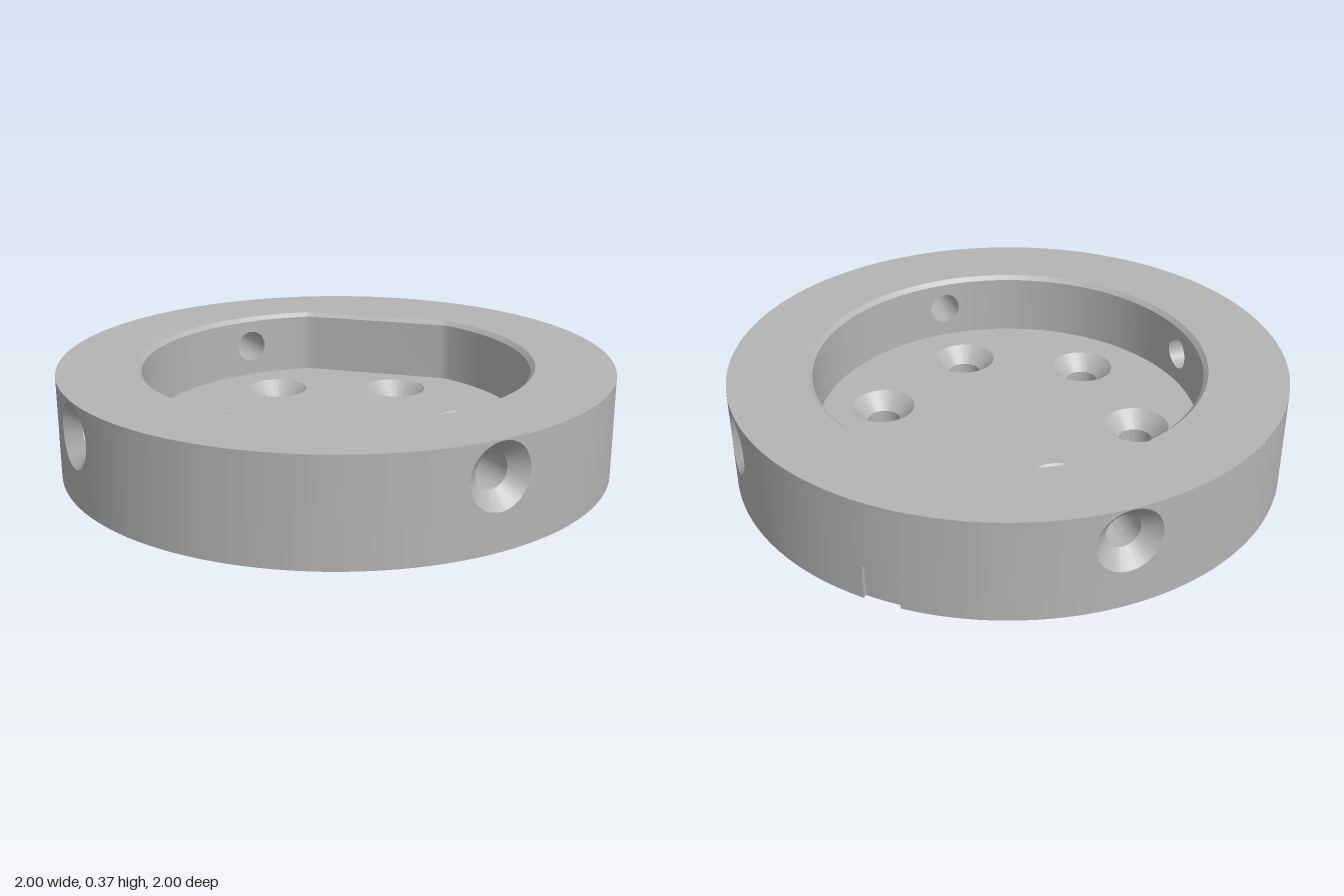
import * as THREE from 'three';
import { mergeGeometries, toCreasedNormals } from 'three/addons/utils/BufferGeometryUtils.js';

const PI = Math.PI, RAD = PI / 180;
const H = 0.37, FLOOR = 0.13, GROOVE = 0.175;        // disc height, pocket floor, groove roof
const POCKET = 0.717, CHAMFER = 0.016, FILLET = 0.1; // pocket outline
const HOLE_Y = 0.25, BORE = 0.06, SINK = 0.115;      // radial holes
const NOTCH = 0.065, NOTCH_R = 0.985;                // shallow arched notch in the rim

// Plan coordinates: (x, -z), angles counter-clockwise seen from above
const arc = (cx, cy, r, a0, a1, n = Math.max(4, Math.ceil(Math.abs(a1 - a0) / (2.5 * RAD)))) =>
  Array.from({ length: n + 1 }, (_, i) => {
    const a = a0 + (a1 - a0) * i / n;
    return new THREE.Vector2(cx + r * Math.cos(a), cy + r * Math.sin(a));
  });
const circle = (cx, cy, r) => arc(cx, cy, r, 0, 2 * PI, 48);
const lift = (p, y) => new THREE.Vector3(p.x, y, -p.y);
// Point at distance d along the radial direction a, moved sideways by s
const radial = (a, s, y, d) =>
  new THREE.Vector3(d * Math.cos(a) - s * Math.sin(a), y, -d * Math.sin(a) - s * Math.cos(a));
const onCylinder = (R, a, s, y) => radial(a, s, y, Math.sqrt(R * R - s * s));

// Skin between successive rows of points
function loft(rows, flip = false) {
  const m = rows[0].length, index = [];
  for (let i = 0; i < rows.length - 1; i++) for (let j = 0; j < m - 1; j++) {
    const a = i * m + j, b = a + m, c = b + 1, d = a + 1;
    index.push(...(flip ? [a, c, b, a, d, c] : [a, b, c, a, c, d]));
  }
  const g = new THREE.BufferGeometry().setFromPoints(rows.flat());
  g.setIndex(index);
  return g.toNonIndexed();
}
const wall = (pts, y0, y1, flip, upper = pts) =>
  loft(pts.map((p, i) => [lift(p, y0), lift(upper[i], y1)]), flip);

// Flat horizontal face with holes
function face(outline, holes, y, down = false) {
  const shape = new THREE.Shape(outline);
  shape.holes = holes.map(h => new THREE.Path(h));
  const g = new THREE.ShapeGeometry(shape).rotateX(-PI / 2).translate(0, y, 0);
  g.deleteAttribute('uv');
  g.deleteAttribute('normal');
  if (down) {
    const ix = g.index.array;
    for (let i = 0; i < ix.length; i += 3) [ix[i], ix[i + 1]] = [ix[i + 1], ix[i]];
  }
  return g.toNonIndexed();
}

// Curved rectangular patch of a cylinder with a round hole in it
function panel(R, a, w, y0, y1, r, flip) {
  const corners = [[w, y0], [w, y1], [-w, y1], [-w, y0], [w, y0]], edge = [];
  for (let k = 0; k < 4; k++) for (let i = 0; i < 16; i++)
    edge.push([0, 1].map(n => corners[k][n] + (corners[k + 1][n] - corners[k][n]) * i / 16));
  edge.push(edge[0]);
  const rows = [0, 0.25, 0.5, 0.75, 1].map(t => edge.map(([s, y]) => {
    const k = r / Math.hypot(s, y - HOLE_Y), f = k + (1 - k) * t;
    return onCylinder(R, a, s * f, HOLE_Y + (y - HOLE_Y) * f);
  }));
  return loft(rows, flip);
}

// Pocket outline, inset by o: large arc, then two fillets joined by the flat
const FLAT_A = 45 * RAD, TURN = Math.acos((0.655 - FILLET) / (POCKET - FILLET));
function corners(o) {
  const fil = (c, a0, a1) => arc((POCKET - FILLET) * Math.cos(c), (POCKET - FILLET) * Math.sin(c),
    FILLET - o, a0, a1, 8);
  const lo = FLAT_A - TURN, hi = FLAT_A + TURN;
  return [...fil(lo, lo, FLAT_A), ...fil(hi, FLAT_A, hi)];
}
const pocketOutline = o =>
  [...arc(0, 0, POCKET - o, FLAT_A + TURN, FLAT_A - TURN + 2 * PI), ...corners(o)];

export function createModel() {
  const group = new THREE.Group();
  group.name = 'mountingDisc';
  const grey = new THREE.MeshStandardMaterial({ color: 0xb4b4b4 });
  grey.name = 'plain grey';
  const add = (name, geos) => {
    const mesh = new THREE.Mesh(toCreasedNormals(mergeGeometries(geos), 0.4), grey);
    mesh.name = name;
    group.add(mesh);
  };

  const quarter = [0, 1, 2, 3].map(i => i * PI / 2);
  const screws = Array.from({ length: 6 }, (_, i) => {
    const a = (30 + 60 * i) * RAD;
    return [0.474 * Math.cos(a), 0.474 * Math.sin(a)];
  });
  const rim = circle(0, 0, 1).length && arc(0, 0, 1, 0, 2 * PI);
  const inset = pocketOutline(CHAMFER), mouth = pocketOutline(0);

  // Outer wall: plain arcs, panels round the four holes, one arched notch
  const w = 0.16, ga = Math.asin(w), na = Math.asin(NOTCH);
  const spans = [[ga, FLAT_A - na], [FLAT_A + na, PI / 2 - ga],
    ...quarter.slice(1).map(a => [a + ga, a + PI / 2 - ga])];
  const column = (s, r) => {
    const h = 0.11 + Math.sqrt(Math.max(0, NOTCH * NOTCH - s * s));
    return [[r, 0], [r, h], [1, h], [1, H]].map(([R, y]) => onCylinder(R, FLAT_A, s, y));
  };
  const notch = [column(-NOTCH, 1)];
  for (let i = 0; i <= 20; i++) notch.push(column(-NOTCH * Math.cos(PI * i / 20), NOTCH_R));
  notch.push(column(NOTCH, 1));
  add('outerWall', [
    ...spans.map(([a0, a1]) => wall(arc(0, 0, 1, a0, a1), 0, H)),
    ...quarter.map(a => panel(1, a, w, 0, H, SINK)),
    loft(notch),
  ]);

  // Top ring and chamfered pocket mouth
  add('topRing', [face(rim, [mouth], H)]);
  add('pocketChamfer', [wall([...inset, inset[0]], H - CHAMFER, H, true, [...mouth, mouth[0]])]);

  // Pocket wall, pierced by three of the radial holes
  const R = POCKET - CHAMFER, pw = 0.1, pa = Math.asin(pw / R), top = H - CHAMFER;
  const pocketRuns = [
    arc(0, 0, R, PI / 2 + pa, PI - pa),
    arc(0, 0, R, PI + pa, 1.5 * PI - pa),
    [...arc(0, 0, R, 1.5 * PI + pa, 2 * PI + FLAT_A - TURN), ...corners(CHAMFER),
      ...arc(0, 0, R, FLAT_A + TURN, PI / 2 - pa)],
  ];
  add('pocketWall', [
    ...pocketRuns.map(run => wall(run, FLOOR, top, true)),
    ...quarter.slice(1).map(a => panel(R, a, pw, FLOOR, top, BORE, true)),
  ]);
  add('pocketFloor', [face(inset, screws.map(([x, y]) => circle(x, y, 0.118)), FLOOR)]);

  // Countersunk screw holes in the floor
  add('screwHoles', screws.flatMap(([x, y]) => [
    wall(circle(x, y, BORE), 0.072, FLOOR, true, circle(x, y, 0.118)),
    wall(circle(x, y, BORE), 0, 0.072, true),
  ]));

  // Countersunk radial holes; the one on +x is blind
  const ring = (r, place) => circle(0, HOLE_Y, r).map(p => place(p.x, p.y));
  add('radialHoles', quarter.flatMap((a, i) => {
    const flat = (r, d) => ring(r, (s, y) => radial(a, s, y, d));
    const end = i ? ring(BORE, (s, y) => onCylinder(R, a, s, y)) : flat(BORE, 0.8);
    const parts = [
      loft([ring(SINK, (s, y) => onCylinder(1, a, s, y)), flat(BORE, 0.945)], true),
      loft([flat(BORE, 0.945), end], true),
    ];
    if (!i) parts.push(loft([end, flat(0, 0.8)], true));
    return parts;
  }));

  // Underside with a 240 degree round-ended groove
  const g0 = -45 * RAD, g1 = 195 * RAD, gi = 0.768, go = 0.975, gm = (gi + go) / 2, gr = (go - gi) / 2;
  const cap = (a, from) => arc(gm * Math.cos(a), gm * Math.sin(a), gr, from, from + PI, 20);
  const groove = [...arc(0, 0, go, g0, g1), ...cap(g1, g1), ...arc(0, 0, gi, g1, g0), ...cap(g0, g0 + PI)];
  const base = [...arc(0, 0, 1, FLAT_A + na, FLAT_A - na + 2 * PI),
    ...arc(0, 0, NOTCH_R, FLAT_A - na, FLAT_A + na)];
  add('underside', [face(base, [groove, ...screws.map(([x, y]) => circle(x, y, BORE))], 0, true)]);
  add('grooveWall', [wall([...groove, groove[0]], 0, GROOVE, true)]);
  add('grooveRoof', [face(groove, [], GROOVE, true)]);
  return group;
}
